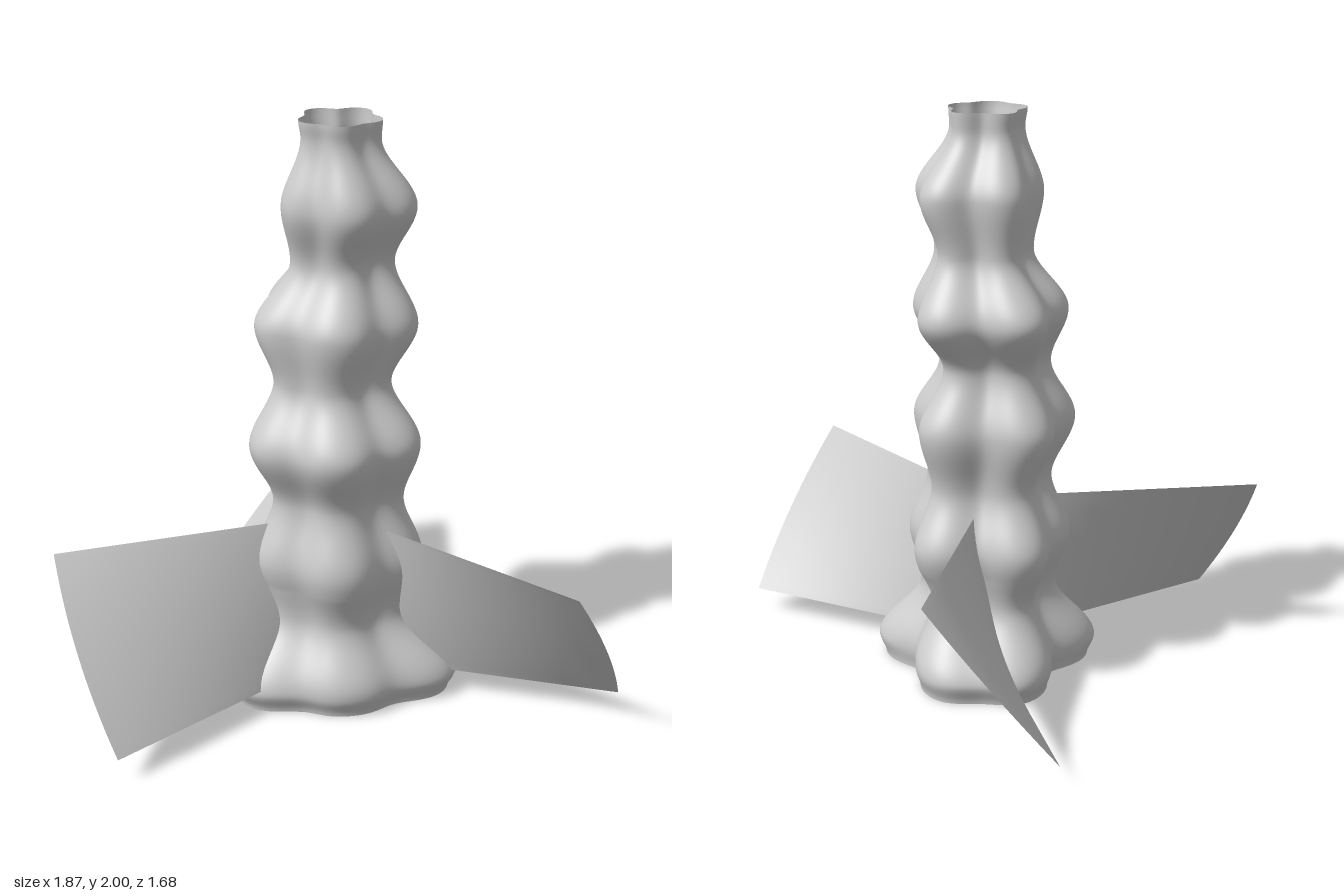
import * as THREE from 'three';

const { degToRad, lerp, clamp, smoothstep } = THREE.MathUtils;
const material = () => new THREE.MeshStandardMaterial({ color: 0xcccccc, side: THREE.DoubleSide, roughness: 0.8 });

// Smooth grid surface from a rule f(u, v) -> [x, y, z]; wrap joins the u ends
function surface(nu, nv, f, wrap) {
  const pos = [], idx = [], cols = wrap ? nu : nu + 1;
  for (let j = 0; j <= nv; j++)
    for (let i = 0; i < cols; i++) pos.push(...f(i / nu, j / nv));
  for (let j = 0; j < nv; j++)
    for (let i = 0; i < nu; i++) {
      const a = j * cols + i, b = j * cols + ((i + 1) % cols), c = a + cols, d = b + cols;
      idx.push(a, c, b, b, c, d);
    }
  const g = new THREE.BufferGeometry();
  g.setAttribute('position', new THREE.Float32BufferAttribute(pos, 3));
  g.setIndex(idx);
  g.computeVertexNormals();
  return g;
}

// Bulges and waists of the trunk: height, mean radius, axis x, axis z
const STATIONS = [
  [0, 0.318, 0.015, 0.115], [0.07, 0.34, 0.015, 0.118], [0.3, 0.225, 0.012, 0.122],
  [0.5, 0.276, 0.01, 0.115], [0.71, 0.212, 0.01, 0.13], [0.92, 0.274, -0.004, 0.145],
  [1.13, 0.187, -0.01, 0.135], [1.32, 0.258, 0.004, 0.1], [1.53, 0.163, 0.025, 0.107],
  [1.72, 0.21, 0.043, 0.128], [1.94, 0.123, 0.017, 0.145], [2, 0.128, 0.015, 0.147],
];

// Rounded blend between neighbouring stations -> [y, radius, x, z]
function station(y) {
  const above = STATIONS.findIndex((s) => s[0] > y);
  const k = above < 0 ? STATIONS.length - 1 : above;
  const a = STATIONS[k - 1], b = STATIONS[k];
  const t = smoothstep(y, a[0], b[0]);
  return a.map((value, i) => lerp(value, b[i], t));
}

// Hollow trunk: five soft lobes, a slightly squared section above, three buttresses at the foot
function trunk() {
  return surface(120, 200, (u, v) => {
    const y = 2 * v, a = u * Math.PI * 2;
    const [, r0, cx, cz] = station(y);
    const foot = clamp((0.42 - y) / 0.35, 0, 1);
    const w = Math.cos(5 * (a - degToRad(lerp(269, 274, foot))));
    const lobes = 0.1 * w - 0.02 * w * w;
    const squared = -0.035 * (1 - foot) * Math.cos(4 * a);
    const buttress = 0.15 * foot * Math.cos(3 * (a - degToRad(95)));
    const r = r0 * (1.01 + lobes + squared + buttress);
    return [cx + r * Math.cos(a), y, cz - r * Math.sin(a)];
  }, true);
}

// Helically twisted fin: angle is measured from the back, turning towards the right
function fin(angle) {
  const half = 12.75;
  return surface(8, 24, (u, v) => {
    const a = degToRad(angle + half * (1 - 2 * v));
    const r = lerp(lerp(0.24, 0.18, v), 0.977, u);
    return [0.015 - r * Math.sin(a), lerp(0.085, 0.63, v), 0.14 - r * Math.cos(a)];
  }, false);
}

export function createModel() {
  const model = new THREE.Group();
  model.name = 'finnedTrunk';
  const add = (name, geometry) => {
    const mesh = new THREE.Mesh(geometry, material());
    mesh.name = name;
    model.add(mesh);
  };
  add('trunk', trunk());
  Object.entries({ backFin: 7.6, rightFin: 116.5, leftFin: 237.1 })
    .forEach(([name, angle]) => add(name, fin(angle)));
  return model;
}
